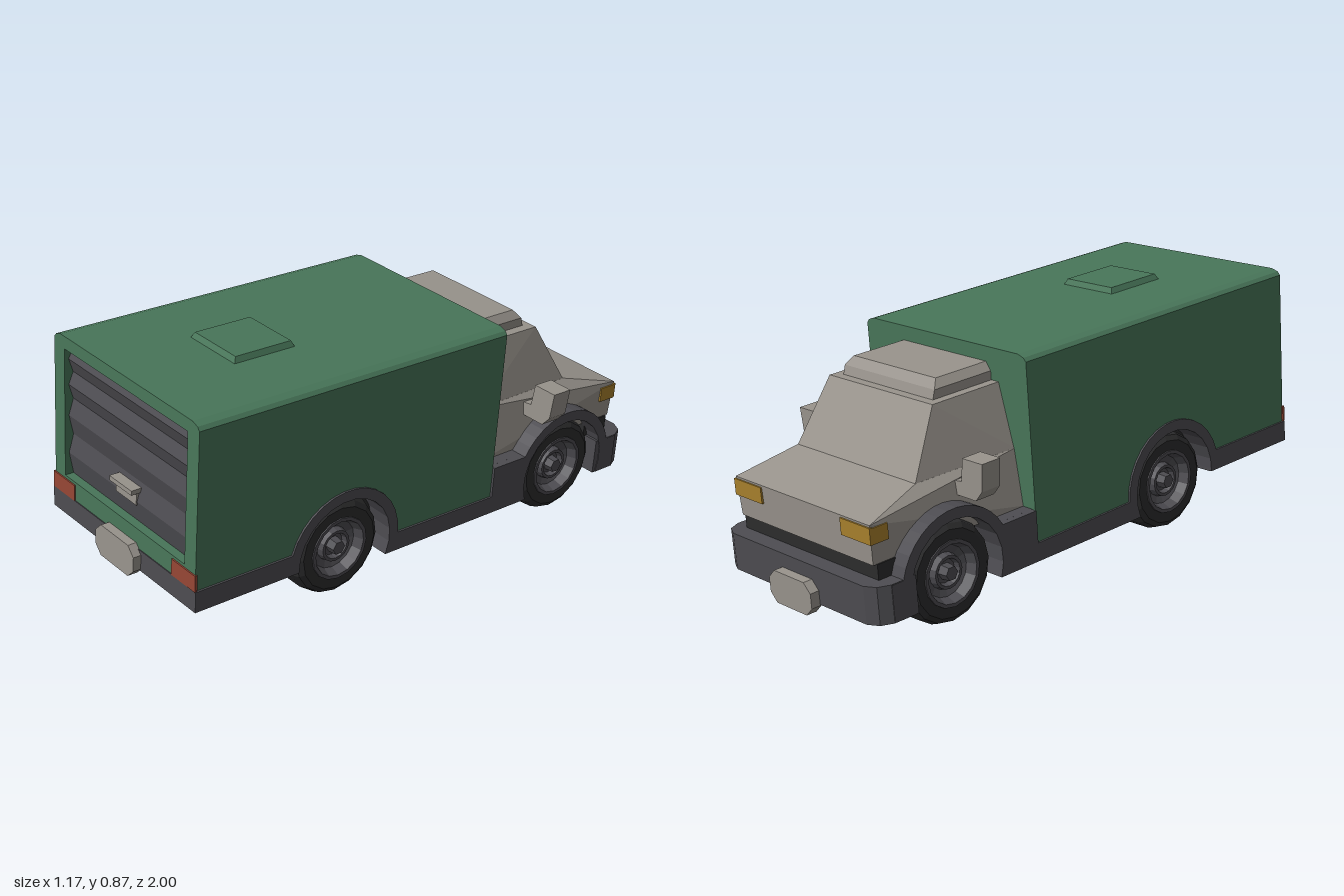
import * as THREE from 'three';
import { ConvexGeometry } from 'three/addons/geometries/ConvexGeometry.js';

const mat = (name, color) => new THREE.MeshStandardMaterial({ name, color, flatShading: true });
const green = mat('green paint', 0x487659);
const grey = mat('warm grey paint', 0x98938c);
const trim = mat('dark trim', 0x4d4c51);
const black = mat('tyre black', 0x2c2c2d);
const red = mat('tail light red', 0x954635);
const amber = mat('head light amber', 0xa8802c);

const V = (x, y, z) => new THREE.Vector3(x, y, z);

export function createModel() {
  const truck = new THREE.Group();
  truck.name = 'truck';

  const add = (name, geo, material, parent = truck) => {
    const m = new THREE.Mesh(geo, material);
    m.name = name;
    parent.add(m);
    return m;
  };
  // box given by its limits
  const box = (name, material, x0, x1, y0, y1, z0, z1) => {
    const g = new THREE.BoxGeometry(x1 - x0, y1 - y0, z1 - z0);
    g.translate((x0 + x1) / 2, (y0 + y1) / 2, (z0 + z1) / 2);
    return add(name, g, material);
  };
  const shapeOf = (pts) => new THREE.Shape(pts.map(([x, y]) => new THREE.Vector2(x, y)));
  // outline in (x, y) extruded from z0 to z1
  const along = (name, material, shape, z0, z1) => {
    const g = new THREE.ExtrudeGeometry(shape, { depth: z1 - z0, bevelEnabled: false });
    return add(name, g.translate(0, 0, z0), material);
  };
  // outline in (z, y) extruded from x0 to x1
  const across = (name, material, pts, x0, x1) => {
    const g = new THREE.ExtrudeGeometry(shapeOf(pts), { depth: x1 - x0, bevelEnabled: false });
    return add(name, g.rotateY(-Math.PI / 2).translate(x1, 0, 0), material);
  };
  const arc = (cz, r, a0, a1, n = 14) => Array.from({ length: n + 1 }, (_, i) => {
    const a = a0 + (a1 - a0) * i / n;
    return [cz + r * Math.cos(a), AXLE + r * Math.sin(a)];
  });
  // convex hull of points mirrored in x
  const hull = (name, material, pts) =>
    add(name, new ConvexGeometry(pts.flatMap(([x, y, z]) => [V(x, y, z), V(-x, y, z)])), material);

  const AXLE = 0.214, REAR = 0.355, FRONT = -0.626, PI = Math.PI;

  // cargo box
  const W = 0.385;
  const topOutline = (y0) => shapeOf([[-W, y0], [W, y0], [W, 0.808], [W - 0.01, 0.82], [W - 0.035, 0.828],
    [0.035 - W, 0.828], [0.01 - W, 0.82], [-W, 0.808]]);
  along('cargoBoxUpper', green, topOutline(0.5), -0.286, 0.9);
  across('cargoBoxLower', green, [[0.9, 0.5], [0.9, 0.27], ...arc(REAR, 0.205, 0.276, PI),
    [-0.286, 0.21], [-0.286, 0.5]], -W, W);
  const frame = topOutline(0.27);
  frame.holes.push(new THREE.Path([[-0.328, 0.338], [-0.328, 0.785], [0.328, 0.785], [0.328, 0.338]]
    .map(([x, y]) => new THREE.Vector2(x, y))));
  along('rearFrame', green, frame, 0.9, 0.935);

  // rear shutter with slanted slats
  const rows = [0.785, 0.7, 0.607, 0.48, 0.338];
  for (let i = 0; i < 4; i++) {
    const t = rows[i], b = rows[i + 1];
    across('shutterSlat', trim, [[0.89, t], [0.903, t], [0.92, t - (t - b) * 0.45], [0.904, b], [0.89, b]], -0.328, 0.328);
  }
  box('shutterHandle', grey, -0.055, 0.055, 0.405, 0.45, 0.9, 0.923);
  box('shutterHandleLip', grey, -0.06, 0.06, 0.448, 0.464, 0.9, 0.945);

  // roof hatch
  hull('roofHatch', green, [[0.115, 0.826, 0.375], [0.115, 0.826, 0.61], [0.105, 0.847, 0.385], [0.105, 0.847, 0.6]]);

  // cab
  hull('cabBody', grey, [[0.33, 0.325, -0.9], [0.337, 0.457, -0.905], [0.293, 0.51, -0.685],
    [0.33, 0.32, -0.28], [0.305, 0.51, -0.28]]);
  hull('cabUpper', grey, [[0.293, 0.508, -0.685], [0.305, 0.508, -0.28], [0.253, 0.72, -0.56], [0.253, 0.72, -0.28]]);
  hull('cabRoofRaised', grey, [[0.22, 0.718, -0.53], [0.22, 0.718, -0.28], [0.22, 0.75, -0.52], [0.22, 0.75, -0.28],
    [0.2, 0.778, -0.495], [0.2, 0.778, -0.28]]);
  box('grilleRecess', black, -0.335, 0.335, 0.2, 0.326, -0.888, -0.78);

  // chassis
  box('cabFloor', trim, -0.37, 0.37, 0.147, 0.32, -0.41, -0.27);
  box('midFloor', trim, -0.38, 0.38, 0.147, 0.215, -0.41, 0.17);
  box('belly', trim, -0.205, 0.205, 0.147, 0.24, -0.9, 0.52);
  box('rearFloor', trim, -0.385, 0.385, 0.2, 0.272, 0.54, 0.938);
  box('frontWheelWell', black, -0.29, 0.29, 0.24, 0.4, -0.8, -0.41);
  box('rearWheelWell', black, -0.3, 0.3, 0.22, 0.41, 0.17, 0.54);

  // front bumper
  const bumper = [];
  for (const y of [0.15, 0.275]) bumper.push([0.39, y, -0.79], [0.39, y, -0.885], [0.37, y, -0.925], [0.33, y, -0.945]);
  hull('frontBumper', trim, bumper);

  // plates at both ends
  const plate = (name, cy, z0, z1) => {
    const pts = [[0.105, 0.025], [0.075, 0.055], [-0.075, 0.055], [-0.105, 0.025],
      [-0.105, -0.025], [-0.075, -0.055], [0.075, -0.055], [0.105, -0.025]].map(([x, y]) => [x, y + cy]);
    along(name, grey, shapeOf(pts), z0, z1);
  };
  plate('rearPlate', 0.232, 0.93, 0.966);
  plate('frontPlate', 0.172, -0.978, -0.94);

  // skirt with both wheel arches, one outline for each side
  const skirt = [[0.938, 0.272], ...arc(REAR, 0.222, 0.264, PI), [-0.288, 0.21], [-0.288, 0.32],
    ...arc(FRONT, 0.222, 0.497, PI - 0.27), [-0.885, 0.273], [-0.885, 0.151],
    ...arc(FRONT, 0.186, PI + 0.35, -0.36), ...arc(REAR, 0.186, PI + 0.37, -0.07), [0.938, 0.2]];

  // wheel parts share their geometry
  const lathe = (pts, n) => new THREE.LatheGeometry(pts.map(([r, h]) => new THREE.Vector2(r, h)), n).rotateZ(-PI / 2);
  const tyreGeo = lathe([[0, -0.1], [0.15, -0.1], [0.172, -0.065], [0.172, 0.06], [0.162, 0.088], [0.145, 0.1],
    [0.108, 0.1], [0.1, 0.08]], 16);
  const rimGeo = lathe([[0.112, 0.09], [0.11, 0.104], [0.098, 0.104], [0.085, 0.07], [0.06, 0.062], [0.055, 0.085],
    [0.045, 0.085], [0.04, 0.065], [0, 0.065]], 16);
  const hubGeo = new THREE.CylinderGeometry(0.024, 0.028, 0.04, 6).rotateZ(-PI / 2).translate(0.08, 0, 0);

  for (const s of [1, -1]) {
    const side = s > 0 ? 'right' : 'left';
    const lim = (a, b) => (s > 0 ? [a, b] : [-b, -a]);
    across(side + 'Skirt', trim, skirt, ...lim(0.27, 0.392));

    for (const [end, z] of [['Front', FRONT], ['Rear', REAR]]) {
      const wheel = new THREE.Group();
      wheel.name = side + end + 'Wheel';
      wheel.position.set(s * 0.262, AXLE, z);
      if (s < 0) wheel.rotation.y = PI;
      add('tyre', tyreGeo, black, wheel);
      add('rim', rimGeo, trim, wheel);
      add('hub', hubGeo, trim, wheel);
      truck.add(wheel);
    }

    // lights
    box(side + 'HeadLight', amber, ...lim(0.2, 0.341), 0.395, 0.45, -0.91, -0.9);
    box(side + 'HeadLightSide', amber, ...lim(0.332, 0.341), 0.395, 0.447, -0.91, -0.84);
    box(side + 'TailLight', red, ...lim(0.268, 0.39), 0.272, 0.328, 0.931, 0.94);

    // mirror
    along(side + 'Mirror', grey, shapeOf([[0.27, 0.44], [0.41, 0.44], [0.44, 0.475], [0.45, 0.567], [0.36, 0.567],
      [0.35, 0.49], [0.27, 0.48]].map(([x, y]) => [s * x, y])), -0.55, -0.475);
  }

  // stance: the truck stands turned and slightly tilted
  const x = V(0.974, -0.058, 0.22).normalize();
  const y = V(-0.22, 0.031, 0.975).cross(x).normalize();
  const z = x.clone().cross(y);
  truck.quaternion.setFromRotationMatrix(new THREE.Matrix4().makeBasis(x, y, z));
  truck.position.set(-0.0136, 0, -0.003);

  const model = new THREE.Group();
  model.name = 'model';
  model.add(truck);
  return model;
}
